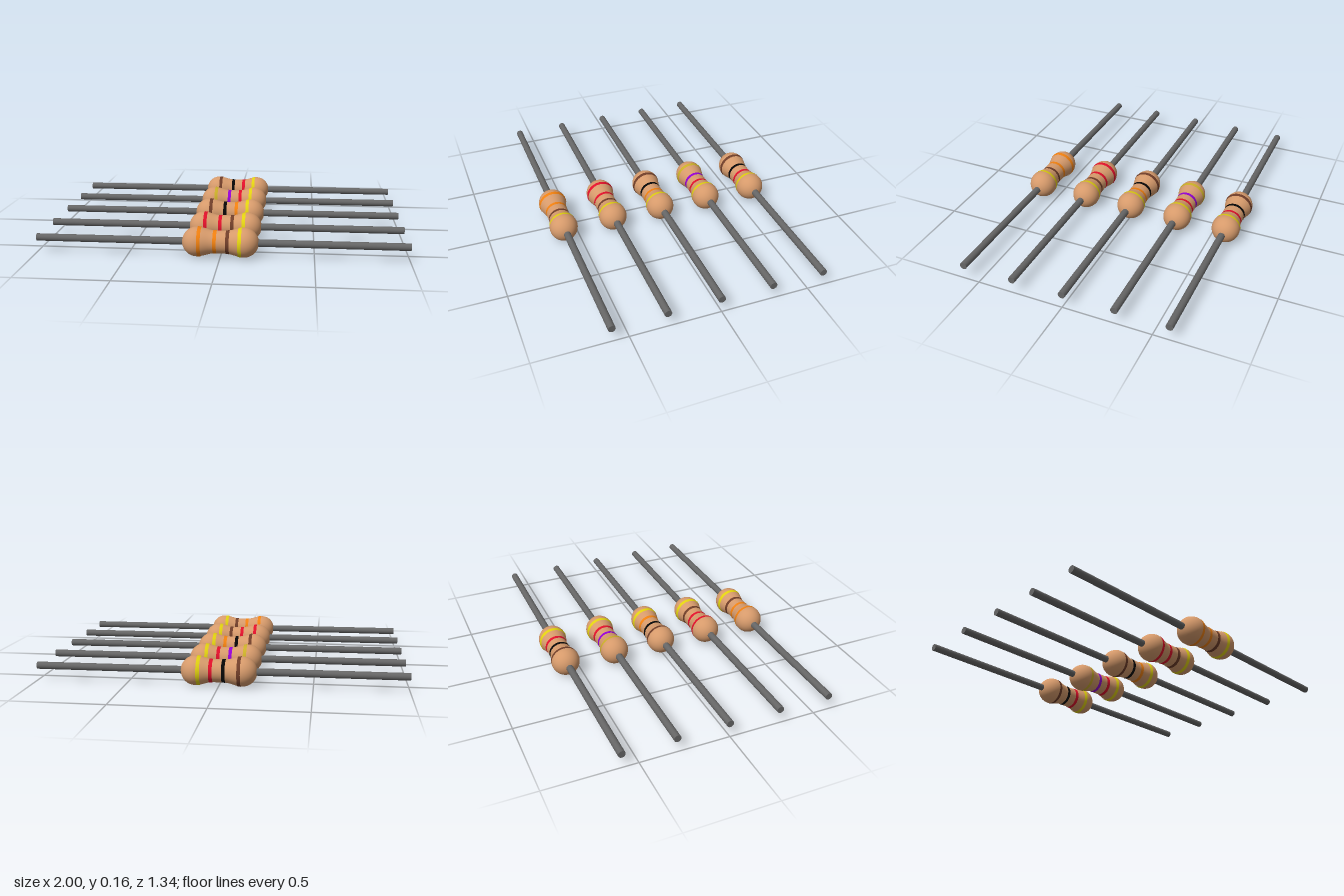
import * as THREE from 'three';

const R = 0.08, WAIST = 0.0615, BULB = 0.125, FLAT = 0.03;
const COLORS = {
  body: 0xd69a6b, lead: 0x666666, brown: 0x6f3d28, black: 0x060606, red: 0xe0102a,
  orange: 0xf08010, yellow: 0xe0d010, gold: 0xc9ae28, violet: 0x9400d3,
};
const materials = {};
for (const key in COLORS) materials[key] = new THREE.MeshStandardMaterial({ color: COLORS[key] });

// Body radius along its axis: round bulbs at the ends, a smooth narrow waist
function radiusAt(x) {
  const a = Math.abs(x);
  if (a >= BULB) return Math.sqrt(Math.max(0, R * R - (a - BULB) ** 2));
  return WAIST + (R - WAIST) * THREE.MathUtils.smoothstep(a, FLAT, BULB);
}

// Surface of revolution around the x axis
function turned(name, points, material) {
  const geometry = new THREE.LatheGeometry(points, 40).rotateZ(-Math.PI / 2);
  const mesh = new THREE.Mesh(geometry, material);
  mesh.name = name;
  return mesh;
}

function bodyProfile() {
  const points = [];
  const arc = 12, mid = 20;
  for (let i = 0; i <= arc; i++) {
    const t = (i / arc) * Math.PI / 2;
    points.push(new THREE.Vector2(R * Math.sin(t), -BULB - R * Math.cos(t)));
  }
  for (let i = 1; i < mid; i++) {
    const x = -BULB + (2 * BULB * i) / mid;
    points.push(new THREE.Vector2(radiusAt(x), x));
  }
  for (let i = 0; i <= arc; i++) {
    const t = (i / arc) * Math.PI / 2;
    points.push(new THREE.Vector2(R * Math.cos(t), BULB + R * Math.sin(t)));
  }
  return points;
}

// Thin painted ring that follows the body's curve
function bandProfile(x, width) {
  const points = [];
  for (let i = 0; i <= 4; i++) {
    const p = x + width * (i / 4 - 0.5);
    points.push(new THREE.Vector2(radiusAt(p) + 0.0012, p));
  }
  return points;
}

function resistor(bandColors) {
  const group = new THREE.Group();
  group.name = 'resistor';
  group.add(turned('body', bodyProfile(), materials.body));

  const bandX = [-0.111, -0.028, 0.04, 0.105];
  bandColors.forEach((color, i) => {
    group.add(turned('colorBand', bandProfile(bandX[i], 0.019), materials[color]));
  });

  // Wire leads, one at each end
  for (const side of [-1, 1]) {
    const geometry = new THREE.CylinderGeometry(0.02, 0.02, 0.81, 16).rotateZ(Math.PI / 2);
    const lead = new THREE.Mesh(geometry, materials.lead);
    lead.name = side > 0 ? 'leftLead' : 'rightLead';
    lead.position.x = side * 0.595;
    group.add(lead);
  }
  return group;
}

export function createModel() {
  const model = new THREE.Group();
  model.name = 'resistorSet';
  const rows = [
    [-0.588, ['brown', 'black', 'red', 'yellow']],
    [-0.293, ['gold', 'violet', 'red', 'yellow']],
    [0, ['brown', 'black', 'orange', 'yellow']],
    [0.293, ['red', 'red', 'brown', 'yellow']],
    [0.588, ['orange', 'orange', 'brown', 'yellow']],
  ];
  for (const [z, bands] of rows) {
    const part = resistor(bands);
    part.position.set(0, 0.082, z);
    model.add(part);
  }
  return model;
}
